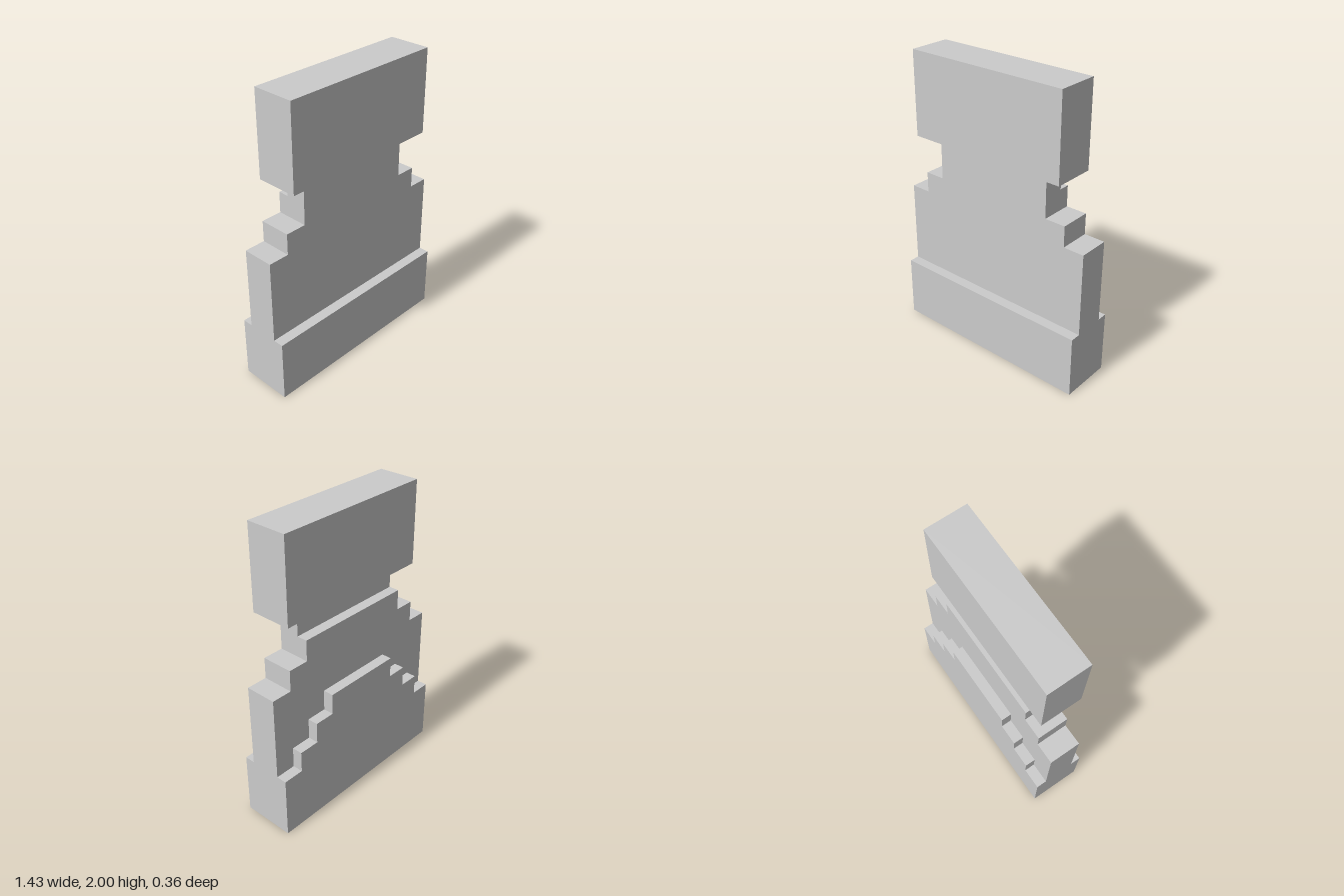
import * as THREE from 'three';

const U = 1 / 7; // one step of the blocky design
const material = new THREE.MeshStandardMaterial({ color: 0xcccccc, flatShading: true });

// Box given by half width, y range and z range, in steps
function block(name, half, y0, y1, z0, z1) {
  const geo = new THREE.BoxGeometry(2 * half * U, (y1 - y0) * U, (z1 - z0) * U);
  geo.translate(0, ((y0 + y1) / 2) * U, ((z0 + z1) / 2) * U);
  const mesh = new THREE.Mesh(geo, material);
  mesh.name = name;
  return mesh;
}

// Symmetric stepped silhouette: tiers are [half width, top y] from the bottom up
function steppedSlab(name, tiers, z0, z1) {
  const right = [];
  let y = 0;
  for (const [half, top] of tiers) {
    right.push([half, y], [half, top]);
    y = top;
  }
  const left = right.map(([x, h]) => [-x, h]).reverse();
  const outline = [...right, ...left].map(([x, h]) => new THREE.Vector2(x * U, h * U));
  const geo = new THREE.ExtrudeGeometry(new THREE.Shape(outline), {
    depth: (z1 - z0) * U,
    bevelEnabled: false,
  });
  geo.translate(0, 0, z0 * U);
  const mesh = new THREE.Mesh(geo, material);
  mesh.name = name;
  return mesh;
}

export function createModel() {
  const model = new THREE.Group();
  model.name = 'steppedFigure';
  model.add(
    // Main slab with stepped shoulders
    steppedSlab('body', [[5, 7], [4, 8], [3, 9]], -0.75, 0.75),
    // Raised band across the lower front
    block('frontBand', 5, 0, 3, 0.75, 1.25),
    // Stepped raised panel on the back
    steppedSlab('backPanel', [[5, 3], [4, 4], [3, 5], [2, 6]], -1.25, -0.75),
    // Thinner neck under the head
    block('neck', 3, 9, 10, -0.25, 0.75),
    // Wide head block, overhanging forward
    block('head', 4, 10, 14, -0.75, 1.25),
  );
  return model;
}
